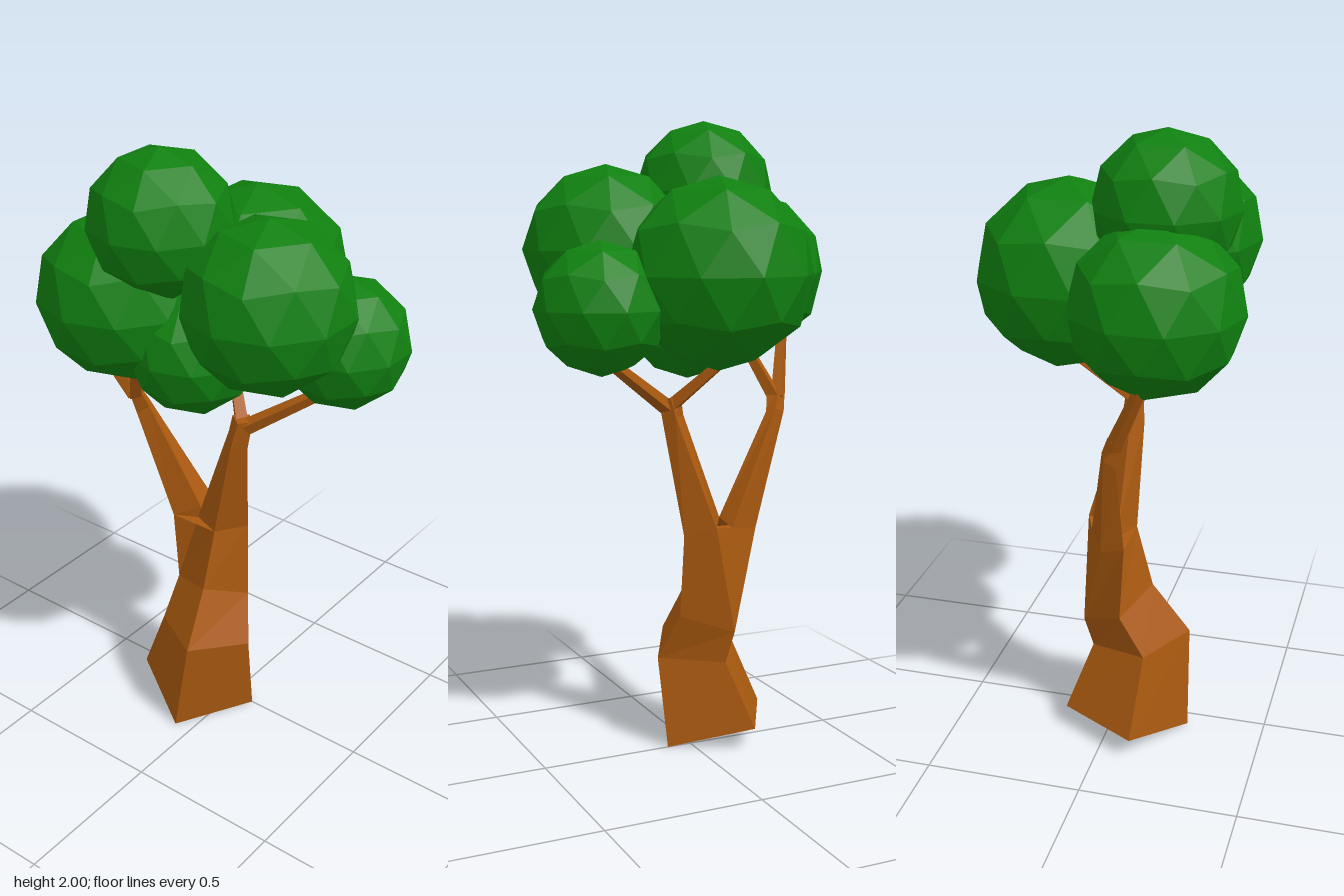
import * as THREE from 'three';

// Closed loft through rings of points (counterclockwise seen from above), flat faces
function loft(rings) {
  const pos = [];
  const same = (p, q) => p.every((v, i) => v === q[i]);
  const tri = (a, b, c) => {
    if (!same(a, b) && !same(b, c) && !same(a, c)) pos.push(...a, ...b, ...c);
  };
  const n = rings[0].length;
  for (let r = 0; r < rings.length - 1; r++) {
    for (let i = 0; i < n; i++) {
      const j = (i + 1) % n, lo = rings[r], hi = rings[r + 1];
      tri(lo[i], lo[j], hi[j]);
      tri(lo[i], hi[j], hi[i]);
    }
  }
  const bottom = rings[0], top = rings[rings.length - 1];
  for (let i = 1; i < n - 1; i++) {
    tri(bottom[0], bottom[i + 1], bottom[i]);
    tri(top[0], top[i], top[i + 1]);
  }
  const g = new THREE.BufferGeometry();
  g.setAttribute('position', new THREE.Float32BufferAttribute(pos, 3));
  g.computeVertexNormals();
  return g;
}

export function createModel() {
  const model = new THREE.Group();
  model.name = 'tree';
  const bark = new THREE.MeshStandardMaterial({ color: 0xa9590f, flatShading: true });
  bark.name = 'bark brown';
  const leaf = new THREE.MeshStandardMaterial({ color: 0x108010, flatShading: true });
  leaf.name = 'leaf green';

  const add = (geometry, material, name) => {
    const mesh = new THREE.Mesh(geometry, material);
    mesh.name = name;
    model.add(mesh);
    return mesh;
  };

  // Fork corners where the trunk splits in two
  const front = [-0.03, 0.7, 0.065], right = [0.035, 0.7, -0.03], back = [-0.05, 0.73, -0.09];
  const seamBack = [-0.12, 0.72, -0.06], left = [-0.235, 0.7, 0], frontLeft = [-0.2, 0.7, 0.065];
  const seamFront = [-0.115, 0.74, 0.025];

  // Trunk: crooked four-sided sections, widened to the fork
  const sections = [
    [[-0.06, 0, 0.25], [0.08, 0, 0], [-0.165, 0.07, -0.14], [-0.305, 0.07, 0.11]],
    [[-0.01, 0.33, 0.24], [0.095, 0.29, 0.045], [-0.095, 0.28, -0.065], [-0.2, 0.32, 0.13]],
    [[-0.035, 0.5, 0.12], [0.045, 0.44, -0.02], [-0.115, 0.385, -0.09], [-0.195, 0.45, 0.05]],
  ];
  const rings = sections.map((s) => [0, 1, 2, 2, 2, 3, 3].map((i) => s[i]));
  rings.push([front, right, back, seamBack, left, frontLeft, seamFront]);
  add(loft(rings), bark, 'trunk');

  // Two main branches, each ending in a small knuckle
  add(loft([
    [front, right, back, seamFront],
    [[0.04, 1.04, 0.07], [0.075, 1.03, 0.03], [0.05, 1.08, 0.0], [0.008, 1.08, 0.035]],
    [[0.06, 1.13, 0.06], [0.095, 1.135, 0.03], [0.065, 1.14, 0.005], [0.018, 1.135, 0.03]],
  ]), bark, 'rightBranch');
  add(loft([
    [frontLeft, seamFront, seamBack, left],
    [[-0.335, 1.04, 0.075], [-0.3, 1.07, 0.055], [-0.32, 1.08, 0.03], [-0.36, 1.07, 0.045]],
    [[-0.345, 1.13, 0.1], [-0.315, 1.13, 0.08], [-0.345, 1.14, 0.055], [-0.38, 1.14, 0.075]],
  ]), bark, 'leftBranch');

  // Twigs reaching into the foliage
  const twigs = [
    [[0.07, 1.11, 0.03], [0.33, 1.29, -0.09]],
    [[0.055, 1.11, 0.03], [-0.1, 1.29, -0.11]],
    [[-0.352, 1.11, 0.072], [-0.425, 1.35, 0.18]],
    [[-0.342, 1.11, 0.072], [-0.25, 1.32, 0.16]],
  ];
  for (const [from, to] of twigs) {
    const a = new THREE.Vector3(...from), b = new THREE.Vector3(...to);
    const dir = b.clone().sub(a);
    const twig = add(new THREE.CylinderGeometry(0.018, 0.026, dir.length(), 4), bark, 'twig');
    twig.position.copy(a).add(b).multiplyScalar(0.5);
    twig.quaternion.setFromUnitVectors(new THREE.Vector3(0, 1, 0), dir.normalize());
  }

  // Foliage: faceted balls with a corner pointing straight up
  const ball = new THREE.IcosahedronGeometry(1, 1);
  ball.rotateZ(-Math.atan(2 / (1 + Math.sqrt(5))));
  const clumps = [
    [-0.128, 1.778, 0.173, 0.222],
    [0.225, 1.6, 0.135, 0.26],
    [-0.28, 1.52, 0.18, 0.262],
    [-0.025, 1.53, -0.148, 0.293],
    [0.335, 1.432, -0.094, 0.202],
    [-0.05, 1.39, 0.13, 0.205],
  ];
  for (const [x, y, z, r] of clumps) {
    const clump = add(ball, leaf, 'foliage');
    clump.position.set(x, y, z);
    clump.scale.setScalar(r);
  }
  return model;
}
